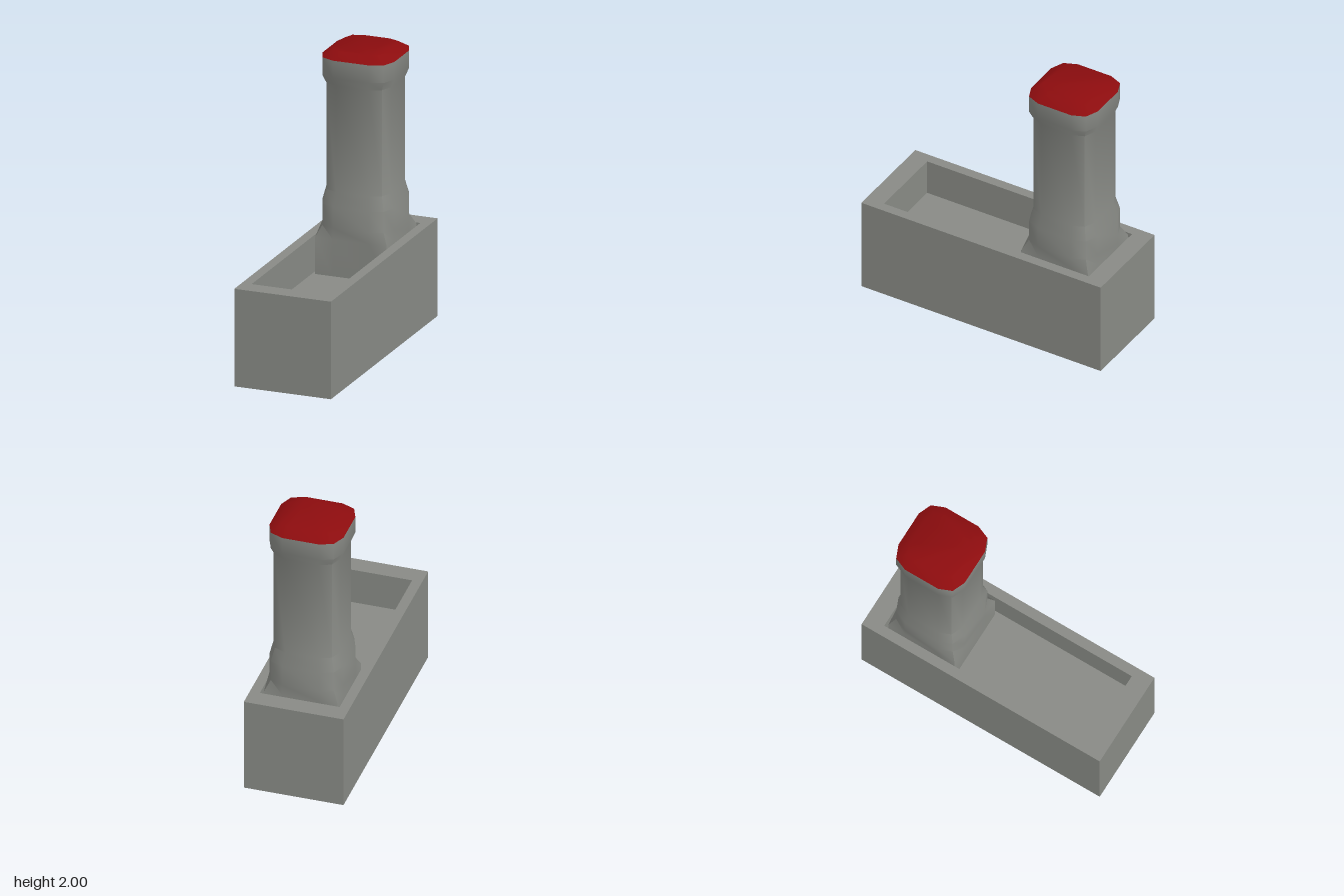
import * as THREE from 'three';
import { toCreasedNormals } from 'three/addons/utils/BufferGeometryUtils.js';

// Rectangle outline at height y
const rectangle = (x, z, y) => [[x, z], [x, -z], [-x, -z], [-x, z]].map(([a, b]) => [a, y, b]);

// Square outline whose corners are pulled in to the point (corner, corner)
function roundedSquare(half, corner, y) {
  const ring = [];
  const points = [[half / 2, half], [corner, corner], [half, half / 2]];
  for (let side = 0; side < 4; side++) {
    for (const [x, z] of points) {
      const [a, b] = [[x, z], [z, -x], [-x, -z], [-z, x]][side];
      ring.push([a, y, b]);
    }
  }
  return ring;
}

// Skin a stack of equal-length rings, optionally closing its ends
function loft(rings, capStart, capEnd) {
  const n = rings[0].length;
  const index = [];
  for (let r = 0; r < rings.length - 1; r++) {
    for (let i = 0; i < n; i++) {
      const a = r * n + i, b = r * n + (i + 1) % n;
      index.push(a, a + n, b, b, a + n, b + n);
    }
  }
  const last = (rings.length - 1) * n;
  for (let i = 1; i < n - 1; i++) {
    if (capStart) index.push(0, i, i + 1);
    if (capEnd) index.push(last, last + i + 1, last + i);
  }
  // Rings run clockwise seen from above, so flip every triangle outward
  for (let i = 0; i < index.length; i += 3) {
    [index[i + 1], index[i + 2]] = [index[i + 2], index[i + 1]];
  }
  const geometry = new THREE.BufferGeometry();
  geometry.setAttribute('position', new THREE.Float32BufferAttribute(rings.flat(2), 3));
  geometry.setIndex(index);
  // Make the winding consistent with a positive enclosed direction on the first wall
  const [p, q, s] = [0, 1, 2].map((k) => new THREE.Vector3().fromBufferAttribute(geometry.attributes.position, index[k]));
  const normal = q.clone().sub(p).cross(s.clone().sub(p));
  if (normal.dot(new THREE.Vector3(p.x + q.x + s.x, 0, p.z + q.z + s.z)) < 0) {
    for (let i = 0; i < index.length; i += 3) {
      [index[i + 1], index[i + 2]] = [index[i + 2], index[i + 1]];
    }
    geometry.setIndex(index);
  }
  return toCreasedNormals(geometry, 0.8);
}

export function createModel() {
  const model = new THREE.Group();
  const stone = new THREE.MeshStandardMaterial({ color: 0x888a85 });
  stone.name = 'grey stone';
  const red = new THREE.MeshStandardMaterial({ color: 0x8c0c0e });
  red.name = 'dark red';

  const add = (name, geometry, material, z = 0) => {
    const mesh = new THREE.Mesh(geometry, material);
    mesh.name = name;
    mesh.position.z = z;
    model.add(mesh);
  };

  // Trough: outer walls, rim, inner walls and sunken floor in one skin
  add('trough', loft([
    rectangle(0.35, 0.935, 0),
    rectangle(0.35, 0.935, 0.69),
    rectangle(0.28, 0.8, 0.69),
    rectangle(0.28, 0.8, 0.43),
  ], true, true), stone);

  // Pillar: square foot in the trough, softened shaft, flared collar
  const pillarZ = -0.52;
  add('pillar', loft([
    roundedSquare(0.26, 0.26, 0.43),
    roundedSquare(0.26, 0.26, 0.69),
    roundedSquare(0.26, 0.222, 0.77),
    roundedSquare(0.26, 0.222, 0.92),
    roundedSquare(0.235, 0.2, 1.02),
    roundedSquare(0.235, 0.2, 1.77),
    roundedSquare(0.26, 0.222, 1.83),
    roundedSquare(0.26, 0.222, 1.955),
  ], false, false), stone, pillarZ);

  // Bevelled cap
  add('cap', loft([
    roundedSquare(0.26, 0.222, 1.955),
    roundedSquare(0.19, 0.165, 2),
  ], false, true), red, pillarZ);

  return model;
}
